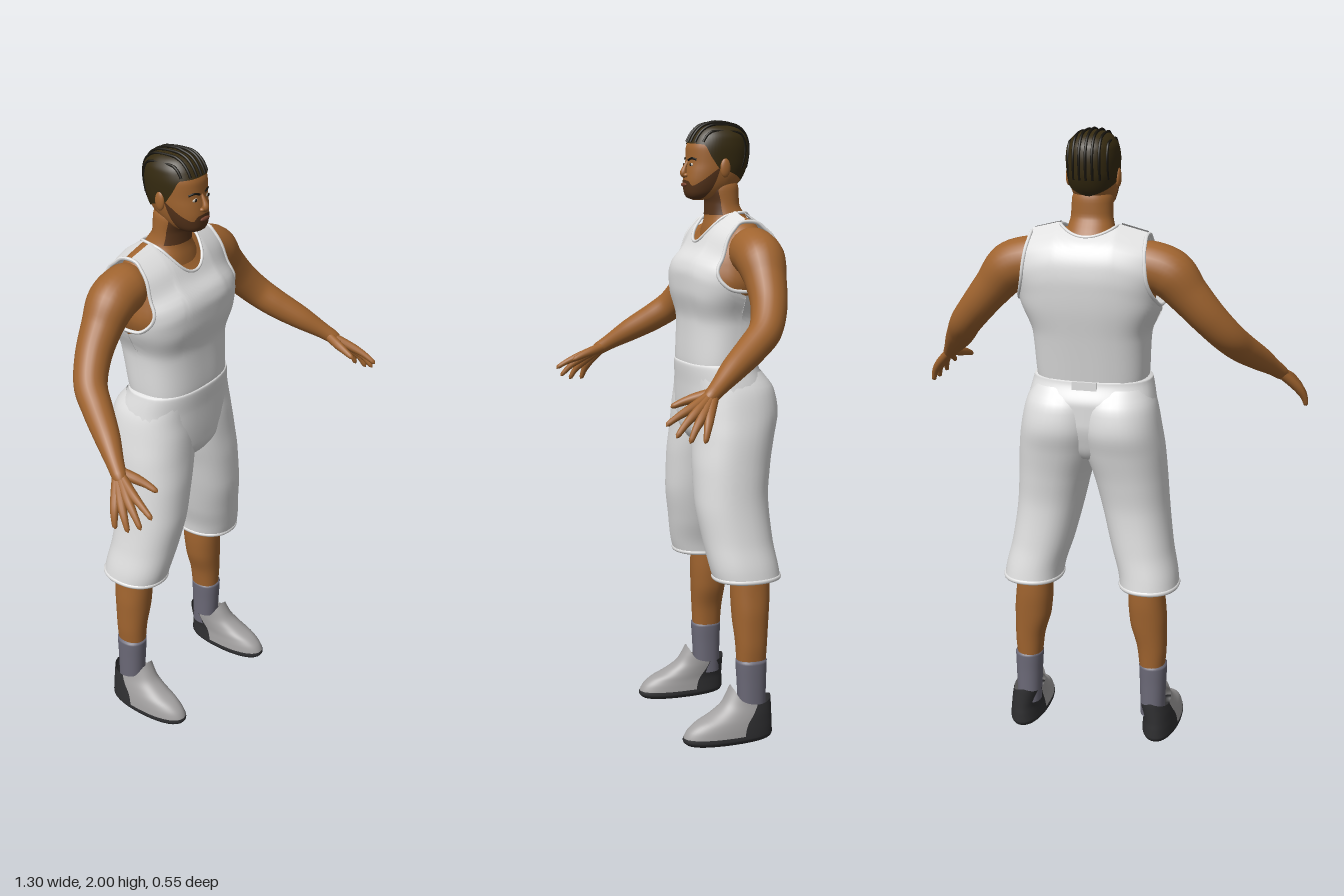
import * as THREE from 'three';
import { mergeVertices } from 'three/addons/utils/BufferGeometryUtils.js';
import { ParametricGeometry } from 'three/addons/geometries/ParametricGeometry.js';

const mat = (name, color, side = THREE.FrontSide) => {
  const m = new THREE.MeshStandardMaterial({ color, side });
  m.name = name;
  return m;
};

// Smooth monotone interpolation through rows [key, a, b, ...]
function curve(rows) {
  const n = rows.length;
  const slope = (i, c) => (rows[i + 1][c] - rows[i][c]) / (rows[i + 1][0] - rows[i][0]);
  const tangent = (i, c) => {
    if (i === 0) return slope(0, c);
    if (i === n - 1) return slope(n - 2, c);
    const a = slope(i - 1, c), b = slope(i, c);
    return a * b > 0 ? 2 * a * b / (a + b) : 0;
  };
  return key => {
    const k = THREE.MathUtils.clamp(key, rows[0][0], rows[n - 1][0]);
    let i = 0;
    while (i < n - 2 && k > rows[i + 1][0]) i++;
    const h = rows[i + 1][0] - rows[i][0], t = (k - rows[i][0]) / h, t2 = t * t, t3 = t2 * t;
    return rows[i].slice(1).map((_, j) => {
      const c = j + 1;
      return (2 * t3 - 3 * t2 + 1) * rows[i][c] + (t3 - 2 * t2 + t) * h * tangent(i, c)
        + (3 * t2 - 2 * t3) * rows[i + 1][c] + (t3 - t2) * h * tangent(i + 1, c);
    });
  };
}

// Upright body from rows [y, xMin, xMax, zFront, zBack]; angle 0 faces the front
function section(rows, p = 2.2) {
  const f = curve(rows);
  const pw = v => Math.sign(v) * Math.abs(v) ** (2 / p);
  return (a, y, grow = 0) => {
    const [x0, x1, zf, zb] = f(y);
    return new THREE.Vector3((x0 + x1) / 2 + ((x1 - x0) / 2 + grow) * pw(Math.sin(a)), y,
      (zf + zb) / 2 + ((zf - zb) / 2 + grow) * pw(Math.cos(a)));
  };
}

function soft(geo) {
  geo.deleteAttribute('normal');
  geo.deleteAttribute('uv');
  const g = mergeVertices(geo, 1e-5);
  g.computeVertexNormals();
  return g;
}
const surface = (fn, nu, nv) => soft(new ParametricGeometry((u, v, t) => t.copy(fn(u, v)), nu, nv));

// Part of a section between two angles and two heights (numbers or functions of the angle)
function patch(sec, a0, a1, low, high, { grow = 0, nu = 36, nv = 24, ease = v => v } = {}) {
  const val = (f, a) => typeof f === 'function' ? f(a) : f;
  return surface((u, v) => {
    const a = a0 + (a1 - a0) * u;
    return sec(a, THREE.MathUtils.lerp(val(low, a), val(high, a), ease(v)), grow);
  }, nu, nv);
}
const full = (sec, low, high, opt) => patch(sec, -Math.PI, Math.PI, low, high, opt);

// Round limb through points [x, y, z, radius]
function limb(pts, seg = 40, sides = 20) {
  const path = new THREE.CatmullRomCurve3(pts.map(p => new THREE.Vector3(p[0], p[1], p[2])));
  const geo = new THREE.TubeGeometry(path, seg, 1, sides);
  const radius = curve(pts.map((p, i) => [i, p[3]]));
  const pos = geo.attributes.position, nor = geo.attributes.normal;
  for (let i = 0; i < pos.count; i++) {
    const u = Math.floor(i / (sides + 1)) / seg;
    const c = path.getPointAt(u), [r] = radius(path.getUtoTmapping(u) * (pts.length - 1));
    pos.setXYZ(i, c.x + nor.getX(i) * r, c.y + nor.getY(i) * r, c.z + nor.getZ(i) * r);
  }
  return soft(geo);
}
const ring = (pts, r) => new THREE.TubeGeometry(new THREE.CatmullRomCurve3(pts, true), 80, r, 8, true);
const ball = (x, y, z, sx, sy, sz) => new THREE.SphereGeometry(1, 20, 14).scale(sx, sy, sz).translate(x, y, z);

function mirror(geo) {
  const g = geo.clone().scale(-1, 1, 1), ix = g.index;
  for (let i = 0; i < ix.count; i += 3) {
    const a = ix.getX(i);
    ix.setX(i, ix.getX(i + 2));
    ix.setX(i + 2, a);
  }
  g.computeVertexNormals();
  return g;
}

export function createModel() {
  const model = new THREE.Group();
  model.name = 'standingMan';
  const skin = mat('skin', 0xa0642f), cloth = mat('whiteCloth', 0xe0e0e0, THREE.DoubleSide);
  const hair = mat('hair', 0x352a10, THREE.DoubleSide), braid = mat('braid', 0x17140d);
  const beard = mat('beard', 0x55331a, THREE.DoubleSide), sock = mat('sock', 0x6c6a78);
  const shoe = mat('shoeUpper', 0xa3a1a1, THREE.DoubleSide), dark = mat('shoeDark', 0x303032, THREE.DoubleSide);
  const eye = mat('eyeWhite', 0xc8beb0), lip = mat('lips', 0x7a4430);
  const add = (name, geo, m) => {
    const mesh = new THREE.Mesh(geo, m);
    mesh.name = name;
    model.add(mesh);
  };
  const pair = (name, geo, m) => {
    add(name + 'Left', geo, m);
    add(name + 'Right', mirror(geo), m);
  };
  const sym = rows => rows.map(([y, w, f, b]) => [y, -w, w, f, b]);

  // Skin under the vest, and the neck
  add('torso', full(section(sym([[1.25, .16, 0, -.2], [1.4, .17, -.004, -.236], [1.5, .2, .013, -.25],
    [1.57, .19, 0, -.257], [1.62, .185, -.045, -.25], [1.66, .17, -.075, -.225], [1.69, .13, -.1, -.2],
    [1.71, .05, -.13, -.17]])), 1.25, 1.71), skin);
  const neck = section(sym([[1.58, .13, -.05, -.23], [1.66, .1, -.062, -.22], [1.7, .074, -.07, -.2],
    [1.74, .065, -.072, -.176], [1.79, .063, -.06, -.174], [1.82, .05, -.06, -.165]]));
  add('neck', full(neck, 1.58, 1.82), skin);
  add('throatStubble', patch(neck, -1.1, 1.1, 1.705, 1.79, { grow: .002 }), beard);

  // Head, cropped hair and beard
  const headRows = sym([[1.752, .015, -.025, -.06], [1.762, .042, -.006, -.1], [1.78, .056, .001, -.14],
    [1.81, .067, .004, -.176], [1.84, .073, .001, -.193], [1.87, .076, -.004, -.202], [1.91, .078, -.005, -.205],
    [1.945, .074, -.018, -.2], [1.97, .06, -.036, -.182], [1.985, .041, -.058, -.158], [1.995, .001, -.104, -.106]]);
  const head = section(headRows, 2.3), headSize = curve(headRows);
  const surfaceZ = (x, y, side = 1) => {
    const [, w, f, b] = headSize(y);
    return (f + b) / 2 + side * (f - b) / 2 * (1 - Math.min(1, Math.abs(x) / w) ** 2.3) ** (1 / 2.3);
  };
  const ease = v => Math.sin(v * Math.PI / 2);
  add('head', full(head, 1.752, 1.995, { nv: 48, ease }), skin);
  const hairline = curve([[0, 1.93], [.9, 1.925], [1.2, 1.885], [1.5, 1.85], [1.8, 1.84], [2.4, 1.82], [3.15, 1.8]]);
  add('hair', full(head, a => hairline(Math.abs(a))[0], 1.995, { grow: .003, nu: 64, nv: 30, ease }), hair);
  const beardTop = curve([[0, 1.816], [.35, 1.812], [.6, 1.797], [1, 1.812], [1.5, 1.855]]);
  add('beard', patch(head, -1.5, 1.5, 1.754, a => beardTop(Math.abs(a))[0], { grow: .002, nu: 48 }), beard);

  // Rows of braids running from the forehead over the crown
  for (let k = -3; k <= 3; k++) {
    const x = k * .02, pts = [];
    let top = 1.994;
    while (headSize(top)[1] < Math.abs(x) * 1.06 + .002) top -= .001;
    for (let i = 0; i <= 5; i++) pts.push([x, 1.93 + (top - 1.93) * ease(i / 5), 1]);
    for (let i = 4; i >= 0; i--) pts.push([x, 1.85 + (top - 1.85) * ease(i / 5), -1]);
    add('braid', limb(pts.map(([px, y, s]) => [px, y + .003, surfaceZ(px, y, s) + s * .003, .0045]), 40, 8), braid);
  }

  // Face
  add('nose', limb([[0, 1.878, -.01, .004], [0, 1.855, .003, .007], [0, 1.836, .008, .011], [0, 1.825, .004, .006],
    [0, 1.822, 0, .001]], 16, 12), skin);
  pair('nostril', ball(.011, 1.83, .002, .008, .007, .009), skin);
  add('lips', ball(0, 1.8, .006, .022, .0065, .006), lip);
  pair('eye', ball(.03, 1.863, surfaceZ(.03, 1.863), .012, .005, .004), eye);
  pair('pupil', ball(.03, 1.863, surfaceZ(.03, 1.863) + .003, .005, .005, .003), braid);
  pair('eyebrow', limb([.012, .03, .048].map((x, i) => [x, [1.877, 1.883, 1.878][i], surfaceZ(x, 1.88), .0035]), 12, 8), braid);
  pair('ear', ball(.078, 1.853, -.105, .009, .03, .017), skin);

  // Vest: front and back panels with a scooped neck and open armholes, rows [y, edge, bodyWidth, front, back]
  const vest = curve([[1.2, .172, .172, .008, -.215], [1.24, .178, .178, .012, -.222], [1.37, .186, .186, .008, -.245],
    [1.47, .224, .224, .026, -.264], [1.52, .206, .235, .027, -.27], [1.56, .195, .245, .015, -.273],
    [1.6, .19, .25, -.02, -.27], [1.66, .183, .26, -.055, -.245], [1.7, .18, .26, -.098, -.192], [1.725, .18, .26, -.14, -.145]]);
  const vestPoint = (s, y, side) => {
    const [edge, wide] = vest(y), x = s * edge;
    const [, , f, b] = vest(y + .25 * Math.max(0, Math.abs(x) - .09));
    const k = (1 - Math.min(1, Math.abs(x) / wide) ** 2.6) ** (1 / 2.6);
    return new THREE.Vector3(x, y, (f + b) / 2 + side * (f - b) / 2 * k);
  };
  const vestTop = (s, side) => {
    const a = Math.abs(s), t = Math.min(1, a / .53);
    return a > .53 ? 1.72 - .25 * Math.max(0, .18 * a - .09) : side > 0 ? 1.62 + .099 * t ** 2.2 : 1.685 + .034 * t * t;
  };
  for (const side of [1, -1]) {
    add(side > 0 ? 'vestFront' : 'vestBack', surface((u, v) => {
      const s = side * Math.sin((u - .5) * Math.PI);
      return vestPoint(s, THREE.MathUtils.lerp(1.2, vestTop(s, side), v), side);
    }, 56, 40), cloth);
  }
  const neckline = [], armhole = [];
  for (const side of [1, -1]) {
    for (let i = 0; i < 12; i++) {
      const s = side * (-.53 + 1.06 * (i + .5) / 12);
      neckline.push(vestPoint(s, vestTop(s, side), side));
      const t = (i + .5) / 12;
      armhole.push(vestPoint(1, 1.47 + .225 * (side > 0 ? t : 1 - t), side));
    }
  }
  add('neckTrim', ring(neckline, .005), cloth);
  pair('armholeTrim', ring(armhole, .006), cloth);

  // Long baggy shorts
  add('shortsHips', full(section(sym([[.955, .005, -.1, -.12], [.98, .09, -.015, -.21], [1.03, .19, .008, -.235],
    [1.1, .214, .012, -.25], [1.16, .205, .013, -.25], [1.225, .191, .016, -.224], [1.236, .188, .014, -.222],
    [1.24, .17, .0, -.205]]), 2.4), .955, 1.24, { nv: 50 }), cloth);
  const shortsLeg = section([[.545, .1, .29, -.03, -.25], [.58, .095, .286, -.02, -.245], [.67, .068, .267, -.003, -.232],
    [.8, .035, .25, .015, -.225], [.9, .01, .243, .016, -.236], [1, -.02, .236, .01, -.256],
    [1.08, -.03, .224, .006, -.273], [1.15, -.03, .21, 0, -.262], [1.21, -.01, .185, 0, -.22]]);
  pair('shortsLeg', full(shortsLeg, .545, 1.21, { nv: 44 }), cloth);
  const hem = Array.from({ length: 24 }, (_, i) => shortsLeg(i / 24 * Math.PI * 2, .55, -.004));
  pair('shortsHem', ring(hem, .008), cloth);
  add('waistTab', new THREE.BoxGeometry(.08, .026, .014).translate(0, 1.222, -.225), cloth);

  // Lower legs and socks
  pair('lowerLeg', full(section([[.25, .17, .25, -.105, -.2], [.33, .16, .256, -.1, -.205], [.42, .136, .256, -.093, -.213],
    [.5, .13, .25, -.09, -.218], [.62, .13, .24, -.09, -.215]]), .25, .62), skin);
  pair('sock', full(section([[.09, .174, .252, -.11, -.2], [.2, .17, .256, -.104, -.201], [.27, .167, .258, -.1, -.203],
    [.276, .18, .245, -.115, -.19]]), .09, .276), sock);

  // Shoes: pale front, dark heel and sole
  const shoeShape = section([[.004, .225, .23, -.06, -.065], [.008, .18, .28, .075, -.208], [.025, .17, .29, .09, -.217],
    [.05, .172, .288, .08, -.217], [.075, .174, .284, .052, -.216], [.1, .173, .278, 0, -.216], [.13, .171, .27, -.045, -.216],
    [.16, .17, .264, -.065, -.214], [.19, .172, .258, -.08, -.21]]);
  const collar = curve([[0, .19], [.5, .18], [1.3, .142], [1.9, .13], [3.15, .147]]);
  const shoeTop = a => collar(Math.abs(a > Math.PI ? 2 * Math.PI - a : a))[0];
  pair('shoeSole', full(shoeShape, .004, .034, { grow: .001 }), dark);
  pair('shoeFront', patch(shoeShape, -1.8, 1.8, .03, shoeTop), shoe);
  pair('shoeHeel', patch(shoeShape, 1.8, 2 * Math.PI - 1.8, .03, shoeTop), dark);

  // Arms and hands
  pair('arm', limb([[.12, 1.6, -.155, .05], [.19, 1.595, -.155, .077], [.25, 1.575, -.155, .077], [.31, 1.51, -.15, .064],
    [.37, 1.44, -.135, .056], [.425, 1.375, -.1, .051], [.46, 1.33, -.045, .047], [.505, 1.28, .03, .039],
    [.55, 1.23, .1, .026], [.568, 1.208, .13, .022], [.58, 1.19, .15, .004]], 60, 24), skin);
  const fingers = [
    [[.585, 1.185, .19], [.596, 1.165, .235], [.602, 1.143, .272]],
    [[.601, 1.172, .185], [.617, 1.142, .223], [.625, 1.112, .25]],
    [[.613, 1.16, .171], [.632, 1.128, .198], [.64, 1.097, .215]],
    [[.62, 1.153, .152], [.638, 1.122, .164], [.645, 1.095, .172]],
  ];
  fingers.forEach(([a, b, c], i) => pair('finger' + (i + 1),
    limb([[.555, 1.222, .11, .016], [...a, .0145], [...b, .0105], [...c, .007], [c[0] + .001, c[1] - .004, c[2] + .003, .001]], 24, 12), skin));
  pair('thumb', limb([[.555, 1.222, .105, .016], [.54, 1.207, .155, .016], [.53, 1.195, .195, .012], [.525, 1.182, .228, .008],
    [.524, 1.179, .235, .001]], 24, 12), skin);
  return model;
}
